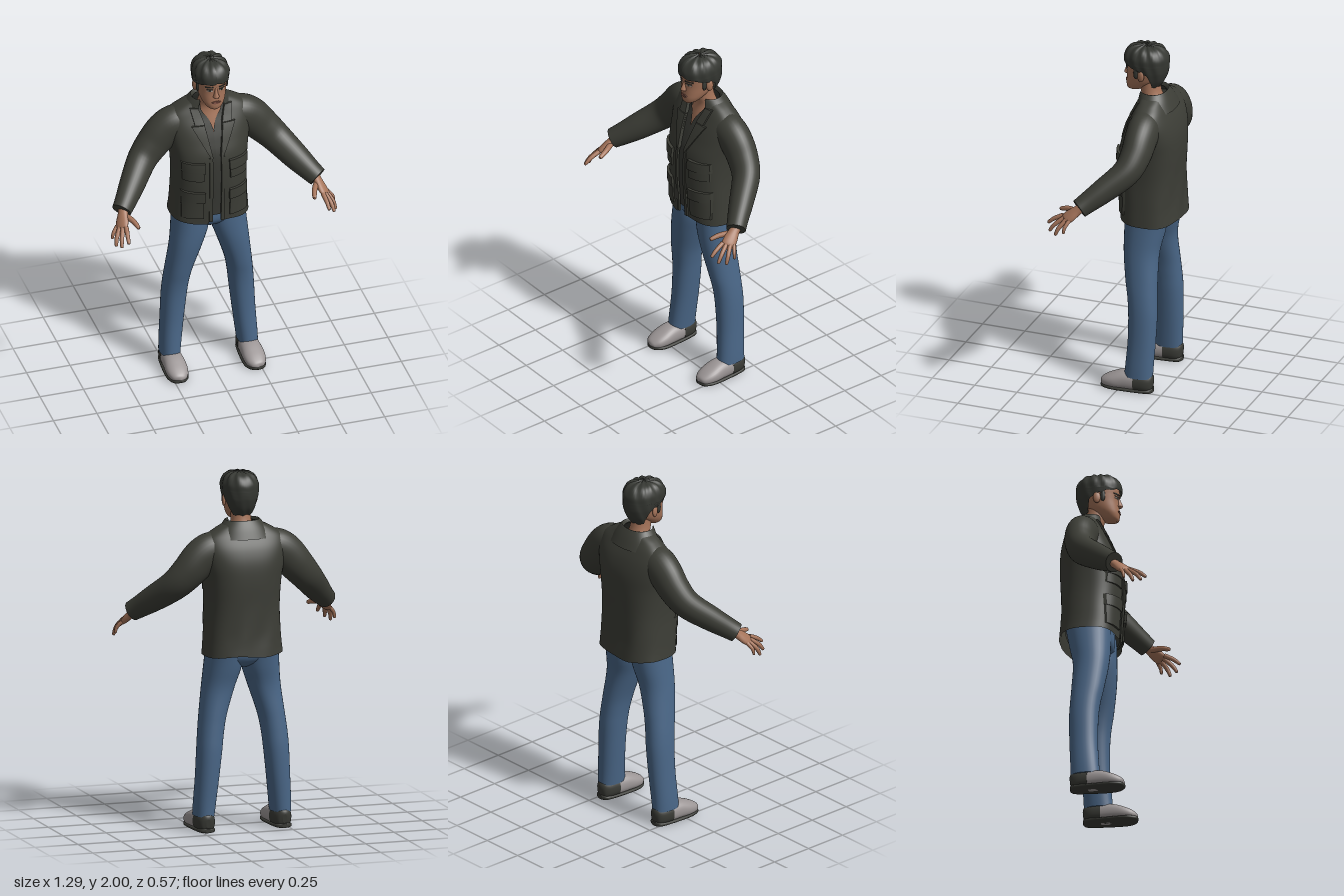
import * as THREE from 'three';

const mat = (name, color, double) => {
  const m = new THREE.MeshStandardMaterial({ color });
  m.name = name;
  if (double) m.side = THREE.DoubleSide;
  return m;
};

// Smoothly resample rows of numbers (cubic through every row)
function resample(rows, sub) {
  const out = [];
  for (let i = 0; i < rows.length - 1; i++) {
    const a = rows[Math.max(i - 1, 0)], b = rows[i], c = rows[i + 1], d = rows[Math.min(i + 2, rows.length - 1)];
    for (let k = 0; k < sub; k++) {
      const t = k / sub;
      out.push(b.map((v, j) => v + 0.5 * t * (c[j] - a[j] + t * (2 * a[j] - 5 * v + 4 * c[j] - d[j] + t * (3 * (v - c[j]) + d[j] - a[j])))));
    }
  }
  out.push(rows[rows.length - 1]);
  return out;
}

// Horizontal slices: height, half width, front z, back z, half angle of the front opening, centre x
const slices = rows => rows.map(([y, rx, f, b, g = 0, x = 0]) => [x, y, (f + b) / 2, rx, (f - b) / 2, g]);
// Round limb section: x, y, z, two radii
const limb = rows => rows.map(([x, y, z, a, b = a]) => [x, y, z, a, b, 0]);

// Skin a run of superellipse sections; without ref the sections stay horizontal
function loft(rows, { ref = null, p = 2, n = 32, sub = 5, open = false, warp = null } = {}) {
  const S = resample(rows, sub), pos = [], idx = [], cols = open ? n + 1 : n;
  const C = S.map(s => new THREE.Vector3(s[0], s[1], s[2]));
  const pw = v => Math.sign(v) * Math.abs(v) ** (2 / p);
  S.forEach((s, i) => {
    let u = new THREE.Vector3(1, 0, 0), v = new THREE.Vector3(0, 0, -1);
    if (ref) {
      const t = C[Math.min(i + 1, C.length - 1)].clone().sub(C[Math.max(i - 1, 0)]).normalize();
      u = new THREE.Vector3().crossVectors(ref, t).normalize();
      v = new THREE.Vector3().crossVectors(t, u);
    }
    const g = Math.max(s[5], 0);
    for (let j = 0; j < cols; j++) {
      const a = -Math.PI / 2 + g + (2 * Math.PI - 2 * g) * j / n;
      const q = C[i].clone().addScaledVector(u, pw(Math.cos(a)) * Math.max(s[3], 0.0005)).addScaledVector(v, pw(Math.sin(a)) * Math.max(s[4], 0.0005));
      if (warp) warp(q);
      pos.push(q.x, q.y, q.z);
    }
  });
  for (let i = 0; i < S.length - 1; i++) for (let j = 0; j < n; j++) {
    const a = i * cols + j, b = i * cols + (j + 1) % cols;
    idx.push(a, b, b + cols, a, b + cols, a + cols);
  }
  // End caps with their own crisp rim
  if (!open) for (const end of [0, S.length - 1]) {
    const base = pos.length / 3, q = C[end].clone();
    if (warp) warp(q);
    pos.push(...pos.slice(end * n * 3, (end + 1) * n * 3), q.x, q.y, q.z);
    for (let j = 0; j < n; j++) {
      const a = base + j, b = base + (j + 1) % n;
      idx.push(...(end ? [a, b, base + n] : [b, a, base + n]));
    }
  }
  const geo = new THREE.BufferGeometry();
  geo.setAttribute('position', new THREE.Float32BufferAttribute(pos, 3));
  geo.setIndex(idx);
  geo.computeVertexNormals();
  return geo;
}

// Thin plate lying on the front of a sliced body; edges are functions of t from bottom to top
function plate(rows, p, y0, y1, xIn, xOut, thick) {
  const S = resample(rows, 5), geo = new THREE.BoxGeometry(1, 1, 1, 10, 12, 1), P = geo.attributes.position;
  const at = (f, t) => (typeof f === 'function' ? f(t) : f);
  for (let i = 0; i < P.count; i++) {
    const t = P.getY(i) + 0.5, y = y0 + (y1 - y0) * t;
    const x = THREE.MathUtils.lerp(at(xIn, t), at(xOut, t), P.getX(i) + 0.5);
    let k = S.findIndex(s => s[1] >= y);
    k = Math.max(k, 1);
    const f = (y - S[k - 1][1]) / (S[k][1] - S[k - 1][1]);
    const [, , cz, rx, rz] = S[k].map((v, j) => S[k - 1][j] + (v - S[k - 1][j]) * f);
    const z = cz + rz * Math.max(1 - Math.min(Math.abs(x) / rx, 1) ** p, 0) ** (1 / p);
    P.setXYZ(i, x, y, z + P.getZ(i) * thick);
  }
  geo.computeVertexNormals();
  return geo;
}

function mirrored(geo) {
  const m = geo.clone().scale(-1, 1, 1), ix = m.index.array;
  for (let i = 0; i < ix.length; i += 3) [ix[i], ix[i + 1]] = [ix[i + 1], ix[i]];
  m.computeVertexNormals();
  return m;
}

export function createModel() {
  const root = new THREE.Group();
  root.name = 'standingMan';
  const jacket = mat('dark olive jacket', 0x3c3d36, true), shirt = mat('charcoal shirt', 0x383934, true);
  const jeans = mat('blue denim', 0x4a6788), skin = mat('skin', 0xa5745a), hair = mat('dark hair', 0x353732, true);
  const shoe = mat('grey shoe', 0x9c9696), sole = mat('dark sole', 0x393a35);
  const lip = mat('lips', 0x86574a), white = mat('eye white', 0xb8aaa0);
  const add = (name, geo, m) => {
    const mesh = new THREE.Mesh(geo, m);
    mesh.name = name;
    root.add(mesh);
  };
  const pair = (name, geo, m) => { add(name + 'Left', geo, m); add(name + 'Right', mirrored(geo), m); };
  const V = (x, y, z) => new THREE.Vector3(x, y, z);

  // Jacket body, open down the front
  const coat = slices([
    [0.99, 0.222, 0.05, -0.283, 0.13], [1.1, 0.213, 0.055, -0.275, 0.1], [1.25, 0.206, 0.065, -0.275, 0.08],
    [1.4, 0.214, 0.06, -0.28, 0.08], [1.5, 0.23, 0.03, -0.275, 0.09], [1.58, 0.24, -0.002, -0.255, 0.12],
    [1.645, 0.225, -0.035, -0.225, 0.2], [1.69, 0.165, -0.055, -0.2, 0.38], [1.715, 0.115, -0.06, -0.19, 0.6]]);
  const folds = q => {
    const k = Math.max(0, 1 - Math.abs(q.y - 1.1) / 0.2);
    q.z += 0.004 * k * Math.sin(q.x * 38 + q.y * 9);
    if (q.y < 1.02) q.y += 0.006 * Math.sin(q.x * 22);
  };
  add('jacketBody', loft(coat, { p: 2.6, n: 64, open: true, warp: folds }), jacket);
  add('jacketCollar', loft(slices([
    [1.64, 0.165, -0.02, -0.243, 0.55], [1.69, 0.135, -0.035, -0.22, 0.55], [1.725, 0.108, -0.04, -0.2, 0.6],
    [1.738, 0.095, -0.045, -0.188, 0.7], [1.72, 0.085, -0.045, -0.175, 0.75]]), { p: 2.2, n: 40, open: true }), jacket);
  pair('lapel', plate(coat, 2.6, 1.42, 1.6, t => 0.022 + 0.03 * t, t => 0.035 + 0.09 * t, 0.022), jacket);
  pair('lapelTop', plate(coat, 2.6, 1.605, 1.69, t => 0.05 + 0.025 * t, t => 0.105 + 0.015 * t, 0.026), jacket);
  pair('jacketPlacket', plate(coat, 2.6, 1.0, 1.42, 0.024, 0.044, 0.012), jacket);
  pair('chestPocket', plate(coat, 2.6, 1.28, 1.37, 0.075, 0.185, 0.02), jacket);
  pair('chestPocketFlap', plate(coat, 2.6, 1.335, 1.395, 0.07, 0.19, 0.034), jacket);
  pair('hipPocket', plate(coat, 2.6, 1.03, 1.18, 0.075, 0.188, 0.02), jacket);
  pair('hipPocketFlap', plate(coat, 2.6, 1.14, 1.205, 0.07, 0.19, 0.034), jacket);

  // Shirt under the jacket, with a V neck
  add('shirt', loft(slices([
    [1.03, 0.2, 0.036, -0.25], [1.1, 0.198, 0.04, -0.25], [1.25, 0.193, 0.05, -0.255], [1.4, 0.2, 0.046, -0.26],
    [1.5, 0.21, 0.018, -0.25], [1.58, 0.21, -0.014, -0.235, 0.01], [1.64, 0.185, -0.04, -0.21, 0.12],
    [1.69, 0.115, -0.055, -0.185, 0.45], [1.72, 0.082, -0.055, -0.175, 0.7]]), { p: 2.5, n: 48, open: true }), shirt);

  // Sleeves
  const sleeve = limb([[0.12, 1.585, -0.125, 0.09, 0.085], [0.19, 1.57, -0.128, 0.105, 0.09], [0.25, 1.53, -0.13, 0.105, 0.088],
    [0.315, 1.46, -0.125, 0.096, 0.083], [0.385, 1.385, -0.095, 0.085, 0.076], [0.47, 1.3, 0.0, 0.074, 0.067],
    [0.53, 1.243, 0.07, 0.062, 0.058], [0.564, 1.213, 0.107, 0.056, 0.054]]);
  pair('sleeve', loft(sleeve, { ref: V(0, 0, 1) }), jacket);

  // Hands: flattened palm, four fingers and a thumb
  const palmNormal = V(0.03, -0.067, 0.083).cross(V(0.04, -0.015, -0.055)).normalize();
  pair('palm', loft(limb([[0.55, 1.225, 0.085, 0.027, 0.023], [0.56, 1.2, 0.118, 0.03, 0.022], [0.573, 1.172, 0.15, 0.038, 0.021],
    [0.584, 1.15, 0.176, 0.038, 0.017], [0.588, 1.14, 0.186, 0.028, 0.009]]), { ref: palmNormal, n: 20 }), skin);
  const digits = {
    indexFinger: [[0.566, 1.16, 0.2], [0.573, 1.135, 0.25], [0.576, 1.108, 0.283]],
    middleFinger: [[0.582, 1.152, 0.19], [0.602, 1.115, 0.235], [0.61, 1.078, 0.262]],
    ringFinger: [[0.595, 1.147, 0.172], [0.622, 1.105, 0.205], [0.63, 1.066, 0.222]],
    littleFinger: [[0.603, 1.148, 0.152], [0.63, 1.115, 0.168], [0.637, 1.085, 0.172]],
    thumb: [[0.547, 1.19, 0.135], [0.52, 1.182, 0.188], [0.506, 1.168, 0.236]],
  };
  for (const [name, [a, b, c]] of Object.entries(digits)) {
    const r = name === 'thumb' ? 0.015 : name === 'littleFinger' ? 0.01 : 0.012;
    const tip = c.map((v, i) => v + (c[i] - b[i]) * 0.1);
    pair(name, loft(limb([[...a, r * 1.1], [...b, r], [...c, r * 0.72], [...tip, 0.002]]), { ref: palmNormal, n: 12 }), skin);
  }

  // Jeans
  pair('jeansLeg', loft(slices([
    [0.09, 0.057, -0.028, -0.19, 0, 0.223], [0.16, 0.06, -0.034, -0.193, 0, 0.218], [0.3, 0.064, -0.043, -0.2, 0, 0.206],
    [0.45, 0.069, -0.042, -0.204, 0, 0.194], [0.55, 0.071, -0.033, -0.2, 0, 0.184], [0.65, 0.075, -0.015, -0.195, 0, 0.168],
    [0.8, 0.09, 0.006, -0.192, 0, 0.134], [0.92, 0.103, 0.012, -0.215, 0, 0.109], [1.05, 0.1, 0.01, -0.24, 0, 0.1]]), { p: 2.2 }), jeans);
  add('jeansHips', loft(slices([[0.915, 0.03, -0.04, -0.16], [0.94, 0.11, -0.01, -0.2], [0.98, 0.185, 0.012, -0.225],
    [1.06, 0.19, 0.012, -0.24]]), { p: 2.4 }), jeans);

  // Shoes: grey front, dark heel and sole
  const ground = q => { q.y = Math.max(q.y, 0.002); };
  const fit = { ref: V(0, 1, 0), p: 2.3, warp: ground };
  pair('shoeUpper', loft(limb([[0.222, 0.057, -0.095, 0.056, 0.056], [0.222, 0.056, -0.03, 0.06, 0.055], [0.223, 0.046, 0.03, 0.062, 0.044],
    [0.222, 0.036, 0.075, 0.052, 0.032], [0.22, 0.03, 0.1, 0.032, 0.02], [0.22, 0.028, 0.11, 0.004, 0.004]]), fit), shoe);
  pair('shoeHeel', loft(limb([[0.222, 0.055, -0.194, 0.012, 0.025], [0.222, 0.056, -0.183, 0.036, 0.05], [0.222, 0.057, -0.15, 0.052, 0.057],
    [0.222, 0.057, -0.093, 0.058, 0.058]]), fit), sole);
  pair('shoeSole', loft(limb([[0.222, 0.014, -0.194, 0.015, 0.012], [0.222, 0.014, -0.175, 0.045, 0.014], [0.222, 0.012, -0.1, 0.057, 0.012],
    [0.222, 0.012, 0.02, 0.063, 0.012], [0.222, 0.014, 0.075, 0.053, 0.013], [0.22, 0.018, 0.102, 0.031, 0.012],
    [0.22, 0.02, 0.112, 0.006, 0.005]]), { ...fit, p: 3 }), sole);

  // Neck and head
  add('neck', loft(slices([[1.5, 0.12, 0.0, -0.2], [1.6, 0.1, -0.03, -0.2], [1.68, 0.068, -0.05, -0.17],
    [1.74, 0.056, -0.035, -0.15], [1.82, 0.056, -0.03, -0.14]])), skin);
  const face = slices([[1.72, 0.018, 0.03, -0.01], [1.733, 0.042, 0.041, -0.05], [1.76, 0.061, 0.045, -0.09], [1.79, 0.073, 0.043, -0.13],
    [1.83, 0.081, 0.04, -0.155], [1.865, 0.086, 0.042, -0.17], [1.9, 0.088, 0.044, -0.17], [1.94, 0.08, 0.03, -0.165],
    [1.97, 0.055, 0.0, -0.13], [1.985, 0.01, -0.05, -0.08]]);
  add('head', loft(face, { p: 2.2, n: 40 }), skin);
  add('nose', loft(slices([[1.803, 0.009, 0.05, 0.02], [1.81, 0.018, 0.061, 0.02], [1.82, 0.015, 0.061, 0.02],
    [1.845, 0.009, 0.051, 0.02], [1.868, 0.008, 0.042, 0.02]]), { n: 16 }), skin);
  pair('ear', new THREE.SphereGeometry(1, 16, 12).scale(0.011, 0.033, 0.021).rotateY(-0.25).translate(0.09, 1.838, -0.068), skin);
  pair('eye', plate(face, 2.2, 1.846, 1.857, t => 0.019 + 0.004 * t, t => 0.05 - 0.008 * t, 0.005), white);
  pair('iris', plate(face, 2.2, 1.846, 1.857, 0.03, 0.041, 0.008), sole);
  pair('eyelid', plate(face, 2.2, 1.857, 1.86, 0.018, 0.051, 0.009), sole);
  pair('eyebrow', plate(face, 2.2, 1.869, 1.876, 0.016, 0.058, 0.008), hair);
  add('upperLip', plate(face, 2.2, 1.775, 1.782, t => -0.027 + 0.014 * t, t => 0.027 - 0.014 * t, 0.009), lip);
  add('lowerLip', plate(face, 2.2, 1.766, 1.774, t => -0.015 - 0.009 * t, t => 0.015 + 0.009 * t, 0.01), lip);

  // Hair shell, open over the face
  const strands = q => {
    const k = 0.003 * Math.sin(Math.atan2(q.x, q.z + 0.07) * 11 + q.y * 30);
    q.x += k * Math.sign(q.x) * Math.min(1, Math.abs(q.x) * 20);
    q.y += k;
  };
  add('hair', loft(slices([
    [1.762, 0.058, -0.04, -0.15, 2.0], [1.8, 0.076, -0.01, -0.176, 1.85], [1.845, 0.091, 0.025, -0.192, 1.7], [1.87, 0.097, 0.045, -0.196, 1.3],
    [1.89, 0.1, 0.055, -0.197, 0.7], [1.902, 0.101, 0.058, -0.197, 0.0], [1.935, 0.1, 0.056, -0.195, 0], [1.97, 0.084, 0.036, -0.175, 0],
    [1.99, 0.055, 0.0, -0.14, 0], [1.999, 0.0, -0.065, -0.067, 0]]), { n: 60, p: 2.15, open: true, warp: strands }), hair);
  pair('sideburn', new THREE.SphereGeometry(1, 12, 10).scale(0.008, 0.035, 0.014).translate(0.084, 1.85, -0.036), hair);

  return root;
}
